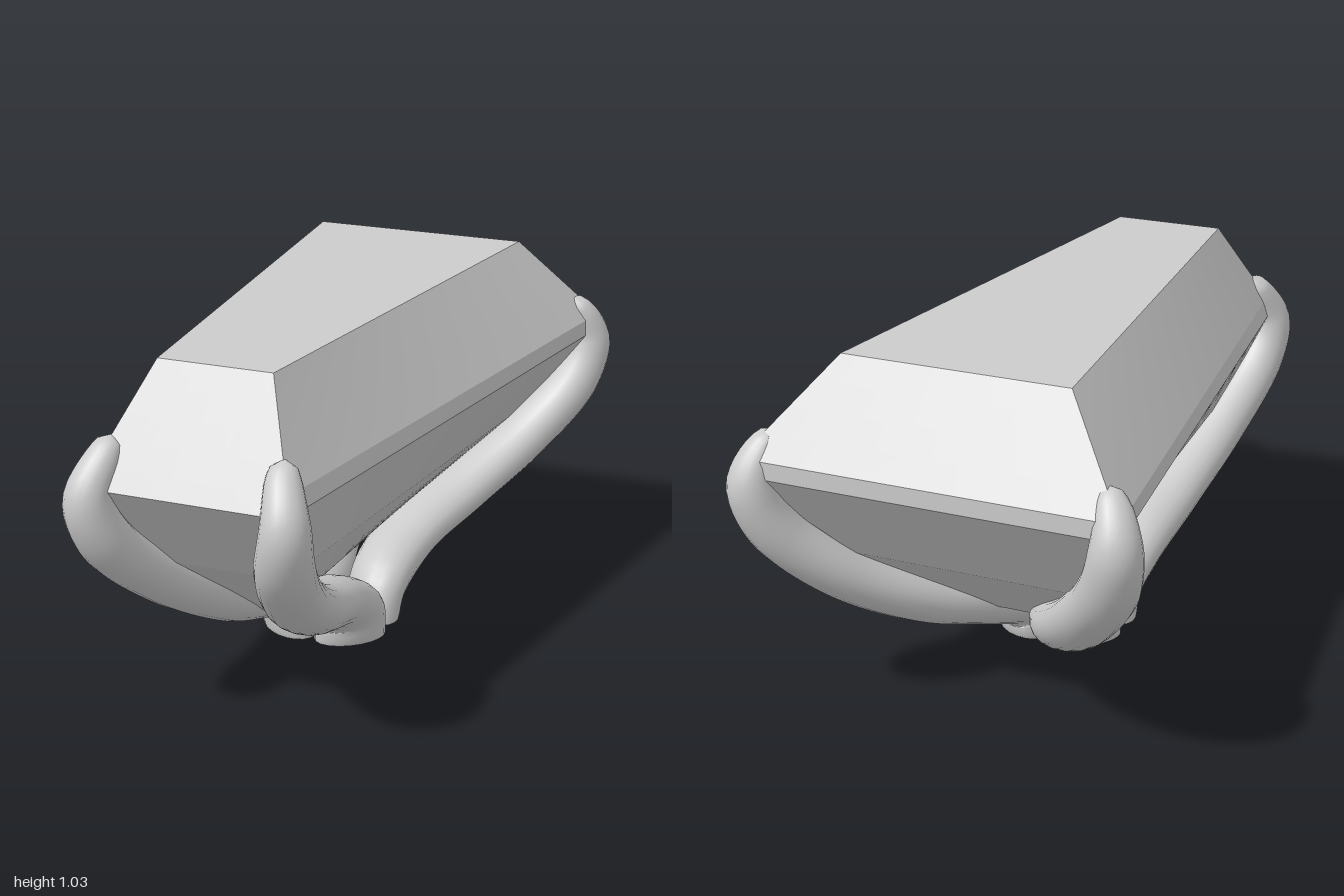
import * as THREE from 'three';
import { mergeVertices } from 'three/addons/utils/BufferGeometryUtils.js';

const material = new THREE.MeshStandardMaterial({ color: 0xcccccc });

// Prong centre lines for the +x side, tip to foot: [x, y, z, half depth, half width]
const FRONT = [
  [0.243, 0.845, 0.85, 0.003, 0.003], [0.245, 0.835, 0.857, 0.026, 0.032], [0.252, 0.80, 0.88, 0.044, 0.048],
  [0.278, 0.69, 0.93, 0.067, 0.067], [0.258, 0.57, 0.89, 0.074, 0.08], [0.198, 0.40, 0.70, 0.076, 0.088],
  [0.13, 0.245, 0.43, 0.078, 0.1], [0.105, 0.165, 0.20, 0.078, 0.106], [0.1, 0.09, 0.085, 0.08, 0.11],
  [0.095, 0, 0.065, 0.075, 0.112],
];
const BACK = [
  [0.472, 0.835, -0.87, 0.003, 0.003], [0.478, 0.825, -0.876, 0.026, 0.03], [0.5, 0.785, -0.897, 0.045, 0.05],
  [0.52, 0.69, -0.925, 0.068, 0.07], [0.485, 0.56, -0.885, 0.074, 0.082], [0.365, 0.40, -0.76, 0.074, 0.09],
  [0.225, 0.265, -0.56, 0.074, 0.098], [0.128, 0.175, -0.33, 0.074, 0.105], [0.1, 0.09, -0.15, 0.08, 0.11],
  [0.095, 0, -0.12, 0.075, 0.112],
];
const HUB_Z = -0.03;

// Flattened bar swept along a centre line, widest across its outward direction
function prong(path, side, name) {
  const group = new THREE.Group();
  group.name = name;
  const points = path.map(([x, y, z]) => new THREE.Vector3(side * x + (y < 0.1 ? 0.008 : 0), y, z));
  const curve = new THREE.CatmullRomCurve3(points);
  const rings = 64, sides = 20;
  const bar = new THREE.TubeGeometry(curve, rings, 1, sides);
  const pos = bar.attributes.position;
  const v = new THREE.Vector3();
  for (let i = 0; i <= rings; i++) {
    const centre = curve.getPointAt(i / rings);
    const across = new THREE.Vector3(centre.z - HUB_Z, 0, -centre.x).normalize();
    const t = curve.getUtoTmapping(i / rings) * (path.length - 1);
    const k = Math.min(Math.floor(t), path.length - 2);
    const depth = THREE.MathUtils.lerp(path[k][3], path[k + 1][3], t - k);
    const width = THREE.MathUtils.lerp(path[k][4], path[k + 1][4], t - k);
    for (let j = 0; j <= sides; j++) {
      const n = i * (sides + 1) + j;
      v.fromBufferAttribute(pos, n).sub(centre);
      const share = v.dot(across);
      v.multiplyScalar(depth).addScaledVector(across, share * (width - depth)).add(centre);
      pos.setXYZ(n, v.x, i === rings ? 0 : Math.max(v.y, 0), v.z);
    }
  }
  // Weld the seam so that the normals are smooth all round
  bar.deleteAttribute('uv');
  bar.deleteAttribute('normal');
  const welded = mergeVertices(bar, 1e-5);
  welded.computeVertexNormals();
  const barMesh = new THREE.Mesh(welded, material);
  barMesh.name = name + 'Bar';
  group.add(barMesh);

  // Flat oval foot
  const [x, , z, depth, width] = path.at(-1);
  const oval = new THREE.CircleGeometry(1, 24).scale(width, depth, 1).rotateX(Math.PI / 2);
  oval.rotateY(Math.atan2(side * x, z - HUB_Z));
  const foot = new THREE.Mesh(oval, material);
  foot.name = name + 'Foot';
  foot.position.copy(points.at(-1));
  group.add(foot);
  return group;
}

// Ruled facet between four corners a, b (lower edge) and d, c (upper edge)
function facet(a, b, c, d, name) {
  const geometry = new THREE.PlaneGeometry(1, 1, 12, 4);
  const pos = geometry.attributes.position;
  const low = new THREE.Vector3(), high = new THREE.Vector3();
  for (let i = 0; i < pos.count; i++) {
    const u = pos.getX(i) + 0.5, w = pos.getY(i) + 0.5;
    low.lerpVectors(a, b, u);
    high.lerpVectors(d, c, u);
    low.lerp(high, w);
    pos.setXYZ(i, low.x, low.y, low.z);
  }
  geometry.computeVertexNormals();
  const mesh = new THREE.Mesh(geometry, material);
  mesh.name = name;
  return mesh;
}

// Tapered step-cut stone, from levels: [front half width, y, z], [back half width, y, z]
function stone() {
  const group = new THREE.Group();
  group.name = 'stone';
  const levels = [
    [[0.03, 0.2, 0.40], [0.05, 0.2, -0.42]],      // keel
    [[0.185, 0.457, 0.73], [0.32, 0.457, -0.75]], // pavilion step
    [[0.283, 0.72, 0.94], [0.54, 0.72, -0.95]],   // lower girdle
    [[0.275, 0.77, 0.908], [0.54, 0.77, -0.95]],  // upper girdle
    [[0.165, 1.03, 0.74], [0.33, 1.03, -0.76]],   // table
  ].map(([[fx, fy, fz], [bx, by, bz]]) => [
    new THREE.Vector3(-fx, fy, fz), new THREE.Vector3(fx, fy, fz),
    new THREE.Vector3(bx, by, bz), new THREE.Vector3(-bx, by, bz),
  ]);
  for (let i = 0; i < levels.length - 1; i++) {
    const lower = levels[i], upper = levels[i + 1];
    for (let j = 0; j < 4; j++) {
      const k = (j + 1) % 4;
      group.add(facet(lower[j], lower[k], upper[k], upper[j], 'facet'));
    }
  }
  const table = levels.at(-1), keel = levels[0];
  group.add(facet(table[0], table[1], table[2], table[3], 'table'));
  group.add(facet(keel[3], keel[2], keel[1], keel[0], 'keel'));
  return group;
}

export function createModel() {
  const model = new THREE.Group();
  model.name = 'prongSetStone';
  model.add(stone());
  for (const [side, label] of [[1, 'Left'], [-1, 'Right']]) {
    model.add(prong(FRONT, side, 'front' + label + 'Prong'));
    model.add(prong(BACK, side, 'back' + label + 'Prong'));
  }
  return model;
}
